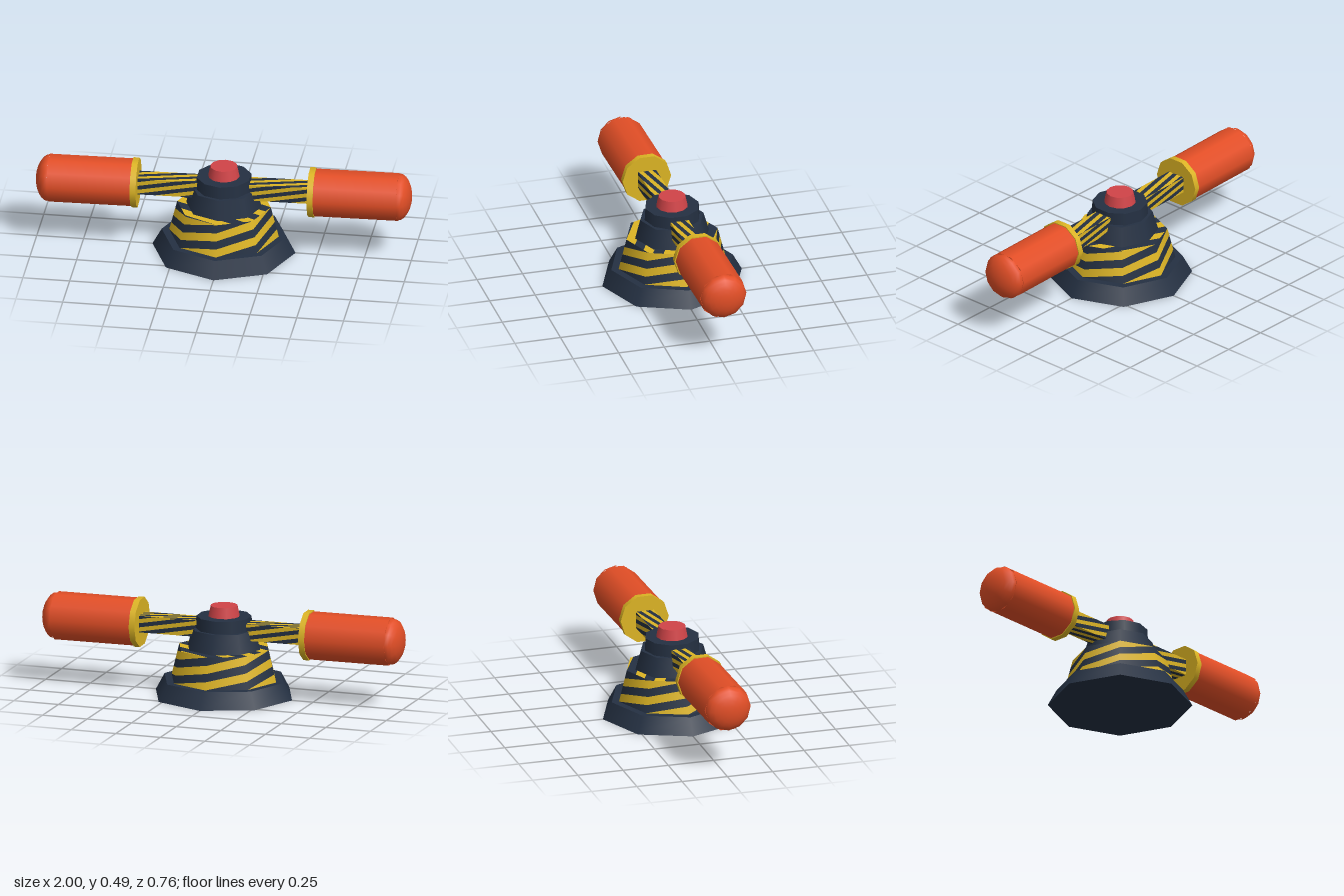
import * as THREE from 'three';

const mat = (name, color) => {
  const m = new THREE.MeshStandardMaterial({ color });
  m.name = name;
  return m;
};

export function createModel() {
  const navy = mat('navy', 0x243042);
  const yellow = mat('yellow', 0xdcb424);
  const orange = mat('orange', 0xe24e26);
  const red = mat('red', 0xd04448);
  const model = new THREE.Group();

  const add = (parent, name, geometry, material) => {
    const mesh = new THREE.Mesh(geometry, material);
    mesh.name = name;
    parent.add(mesh);
    return mesh;
  };

  // Upright frustum standing on y0
  const tier = (name, rTop, rBottom, y0, y1, sides, material) => {
    const g = new THREE.CylinderGeometry(rTop, rBottom, y1 - y0, sides);
    add(model, name, g.translate(0, (y0 + y1) / 2, 0), material);
  };

  // Slanted bands over a surface(u, v); each column lifts them a quarter of the height.
  // parity 0 gives the yellow bands, 1 the navy ones.
  const bands = (surface, parity) => {
    const pos = [], nor = [], columns = 8;
    const clamp = (v) => Math.min(1, Math.max(0, v / 4));
    for (let k = 0; k < columns; k++) {
      for (let j = -1; j < 4; j++) {
        if ((j + k + 8) % 2 !== parity) continue;
        const corners = [[k, j], [k + 1, j + 1], [k + 1, j + 2], [k, j + 1]]
          .map(([c, v]) => surface(c / columns, clamp(v)));
        for (const i of [0, 1, 2, 0, 2, 3]) {
          pos.push(...corners[i].p);
          nor.push(...corners[i].n);
        }
      }
    }
    const g = new THREE.BufferGeometry();
    g.setAttribute('position', new THREE.Float32BufferAttribute(pos, 3));
    g.setAttribute('normal', new THREE.Float32BufferAttribute(nor, 3));
    return g;
  };
  const striped = (parent, name, surface) => {
    add(parent, name + 'YellowBands', bands(surface, 0), yellow);
    add(parent, name + 'NavyBands', bands(surface, 1), navy);
  };

  // Foot
  tier('foot', 0.333, 0.382, 0, 0.09, 8, navy);

  // Striped pedestal wall
  const R0 = 0.293, R1 = 0.25, Y0 = 0.09, Y1 = 0.26;
  striped(model, 'pedestal', (u, v) => {
    const a = u * Math.PI * 2, r = R0 + (R1 - R0) * v;
    const n = new THREE.Vector3(Math.sin(a), (R0 - R1) / (Y1 - Y0), Math.cos(a)).normalize();
    return { p: [r * Math.sin(a), Y0 + (Y1 - Y0) * v, r * Math.cos(a)], n: n.toArray() };
  });

  // Striped pedestal top: the octagon cut into parallel strips
  const octagon = Array.from({ length: 8 }, (_, i) =>
    new THREE.Vector2(R1 * Math.sin(i * Math.PI / 4), R1 * Math.cos(i * Math.PI / 4)));
  const across = (p) => (p.x + 2 * p.y) / R1;
  const cut = (poly, limit, sign) => {
    const out = [];
    poly.forEach((a, i) => {
      const b = poly[(i + 1) % poly.length];
      const da = sign * (across(a) - limit), db = sign * (across(b) - limit);
      if (da >= 0) out.push(a);
      if (da * db < 0) out.push(a.clone().lerp(b, da / (da - db)));
    });
    return out;
  };
  for (let i = -5; i < 5; i++) {
    const strip = cut(cut(octagon, i / 2, 1), i / 2 + 0.5, -1);
    if (strip.length < 3) continue;
    const g = new THREE.ShapeGeometry(new THREE.Shape(strip));
    add(model, 'pedestalTopStrip', g.rotateX(-Math.PI / 2).translate(0, Y1, 0),
      i % 2 === 0 ? yellow : navy);
  }

  // Hub, collar and lamp
  tier('hub', 0.172, 0.202, 0.26, 0.363, 8, navy);
  tier('collar', 0.146, 0.15, 0.363, 0.43, 10, navy);
  tier('lamp', 0.072, 0.084, 0.43, 0.487, 12, red);

  // Crossbar, turned slightly about the hub
  const bar = new THREE.Group();
  bar.name = 'crossbar';
  bar.position.y = 0.36;
  bar.rotation.y = 0.025;
  model.add(bar);

  // Four striped long faces of the bar
  const L = 0.96, H = 0.09, D = 0.1;
  const faces = [
    ['barFront', 0, 0, H, D], ['barBack', 0, Math.PI, H, D],
    ['barTop', -Math.PI / 2, 0, D, H], ['barBottom', Math.PI / 2, 0, D, H],
  ];
  for (const [name, rx, ry, height, depth] of faces) {
    const face = new THREE.Group();
    face.name = name;
    face.rotation.set(rx, ry, 0);
    bar.add(face);
    striped(face, name, (u, v) =>
      ({ p: [(u - 0.5) * L, (v - 0.5) * height, depth / 2], n: [0, 0, 1] }));
  }

  // Flange, canister and domed end on each arm
  for (const side of [1, -1]) {
    const arm = new THREE.Group();
    arm.name = side > 0 ? 'leftArm' : 'rightArm';
    arm.rotation.y = side > 0 ? 0 : Math.PI;
    bar.add(arm);
    const along = (name, r, x0, x1, material) => {
      const g = new THREE.CylinderGeometry(r, r, x1 - x0, 10);
      add(arm, name, g.rotateZ(-Math.PI / 2).translate((x0 + x1) / 2, 0, 0), material);
    };
    along('flange', 0.134, 0.455, 0.487, yellow);
    along('canister', 0.128, 0.48, 0.93, orange);
    const dome = new THREE.SphereGeometry(0.125, 12, 6, 0, Math.PI * 2, 0, Math.PI / 2);
    dome.scale(1, 0.07 / 0.125, 1).rotateZ(-Math.PI / 2).translate(0.93, 0, 0);
    add(arm, 'dome', dome, orange);
  }
  return model;
}
